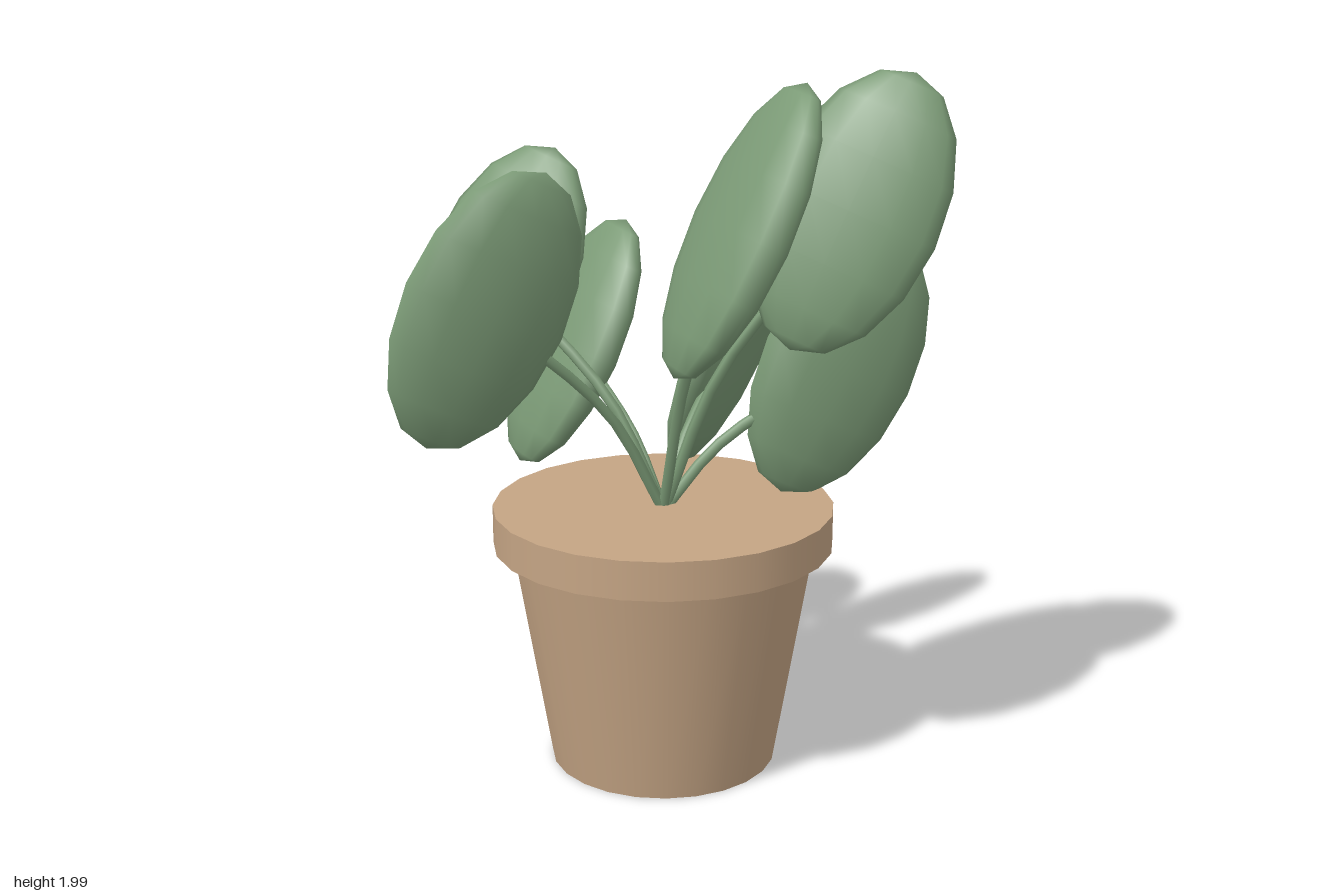
import * as THREE from 'three';

const clay = new THREE.MeshStandardMaterial({ color: 0xc4a484 });
const green = new THREE.MeshStandardMaterial({ color: 0x7b9a76 });

const RIM_TOP = 0.76;
const LEAN = -0.44; // every leaf leans the same way, toward +x

// leaf centres: x, height, z
const LEAVES = [
  [0.52, 1.125, -0.01],
  [0.435, 1.62, 0.27],
  [0.04, 1.63, 0.51],
  [-0.52, 1.37, 0.08],
  [-0.39, 1.37, -0.37],
  [-0.14, 1.125, -0.522],
  [0.315, 1.125, -0.37],
];

function addMesh(parent, name, geometry, material) {
  const mesh = new THREE.Mesh(geometry, material);
  mesh.name = name;
  parent.add(mesh);
  return mesh;
}

// Tapered pot with an overhanging rim
function makePot() {
  const pot = new THREE.Group();
  pot.name = 'pot';
  addMesh(pot, 'potBody', new THREE.CylinderGeometry(0.435, 0.325, 0.66, 24), clay).position.y = 0.33;
  addMesh(pot, 'potRim', new THREE.CylinderGeometry(0.485, 0.485, 0.11, 24), clay).position.y = RIM_TOP - 0.055;
  return pot;
}

// Bent stalk with a flat oval leaf on its end, edge turned to the middle
function makeLeaf(base, centre) {
  const group = new THREE.Group();
  group.name = 'leafAndStem';
  const reach = centre.clone().sub(base);
  const bend = base.clone().add(new THREE.Vector3(reach.x * 0.32, reach.y * 0.48, reach.z * 0.32));
  const path = new THREE.CatmullRomCurve3([base, bend, centre]);
  addMesh(group, 'stem', new THREE.TubeGeometry(path, 8, 0.016, 6), green);

  const azimuth = Math.atan2(reach.z, reach.x);
  const geometry = new THREE.SphereGeometry(1, 12, 8)
    .scale(0.24, 0.4, 0.08)
    .rotateY(-azimuth)
    .rotateZ(LEAN);
  addMesh(group, 'leaf', geometry, green).position.copy(centre);
  return group;
}

export function createModel() {
  const model = new THREE.Group();
  model.name = 'pottedPlant';
  const pot = makePot();
  pot.position.set(-0.005, 0, -0.01);
  model.add(pot);
  for (const c of LEAVES) {
    model.add(makeLeaf(new THREE.Vector3(-0.005, RIM_TOP - 0.02, -0.01), new THREE.Vector3(...c)));
  }
  return model;
}
